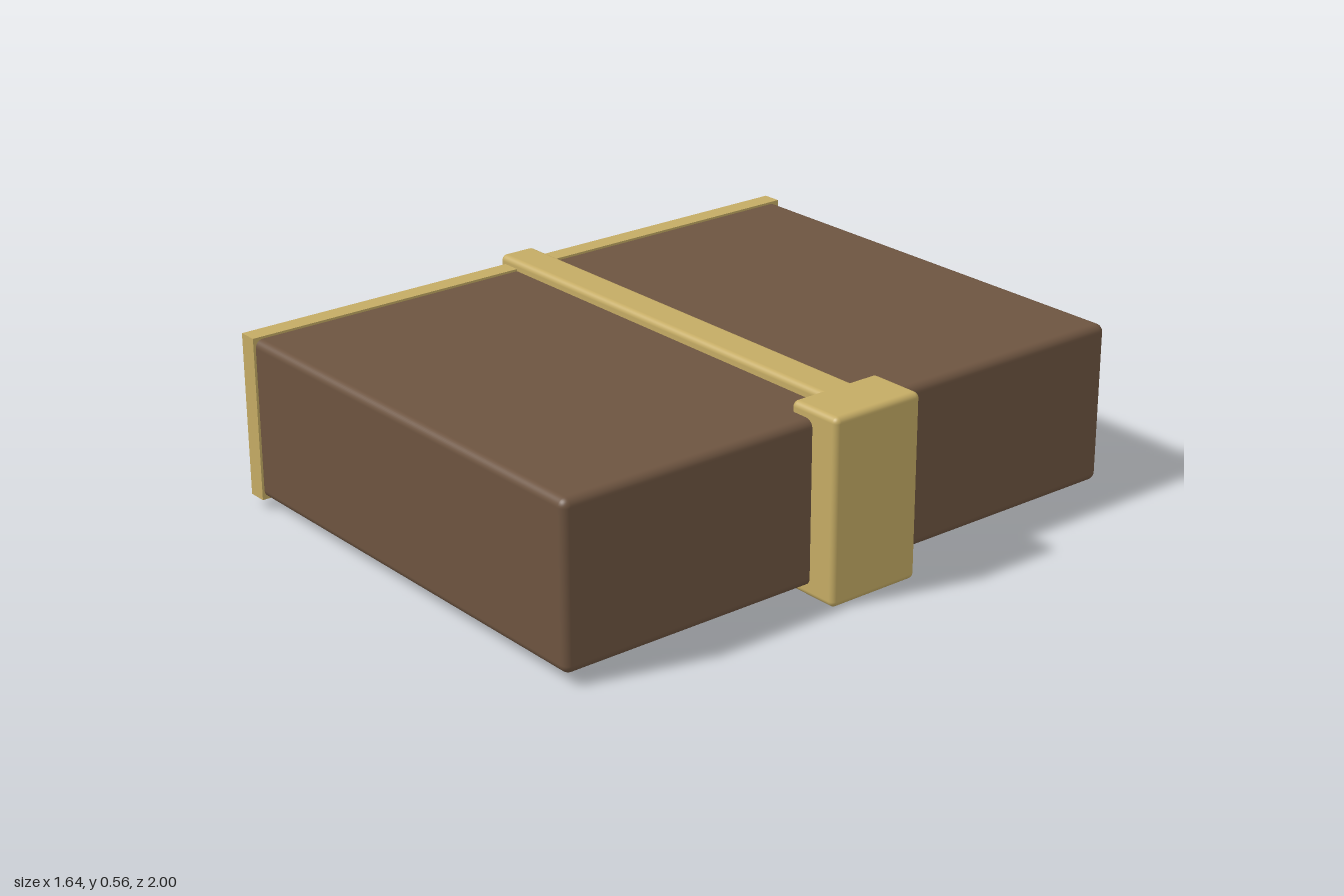
import * as THREE from 'three';
import { RoundedBoxGeometry } from 'three/addons/geometries/RoundedBoxGeometry.js';

const brown = new THREE.MeshStandardMaterial({ color: 0x6d5440 });
const tan = new THREE.MeshStandardMaterial({ color: 0xc4ab64 });

// Box given by its limits in x and y, its depth centred on z = 0, and an edge radius
function box(name, material, [x0, x1], [y0, y1], depth, radius) {
  const w = x1 - x0, h = y1 - y0;
  const geometry = radius
    ? new RoundedBoxGeometry(w, h, depth, 4, radius)
    : new THREE.BoxGeometry(w, h, depth);
  const mesh = new THREE.Mesh(geometry, material);
  mesh.name = name;
  mesh.position.set((x0 + x1) / 2, (y0 + y1) / 2, 0);
  return mesh;
}

export function createModel() {
  const group = new THREE.Group();
  group.name = 'strappedCase';
  group.add(
    // main block with softened edges
    box('body', brown, [-0.77, 0.725], [0.035, 0.53], 1.985, 0.025),
    // sharp-edged plate along the left-hand side
    box('spine', tan, [-0.795, -0.735], [0.03, 0.537], 2, 0),
    // band running all the way round
    box('strap', tan, [-0.822, 0.75], [0.003, 0.562], 0.122, 0.018),
    // block closing the strap
    box('clasp', tan, [0.637, 0.82], [0.001, 0.562], 0.31, 0.018)
  );
  return group;
}
